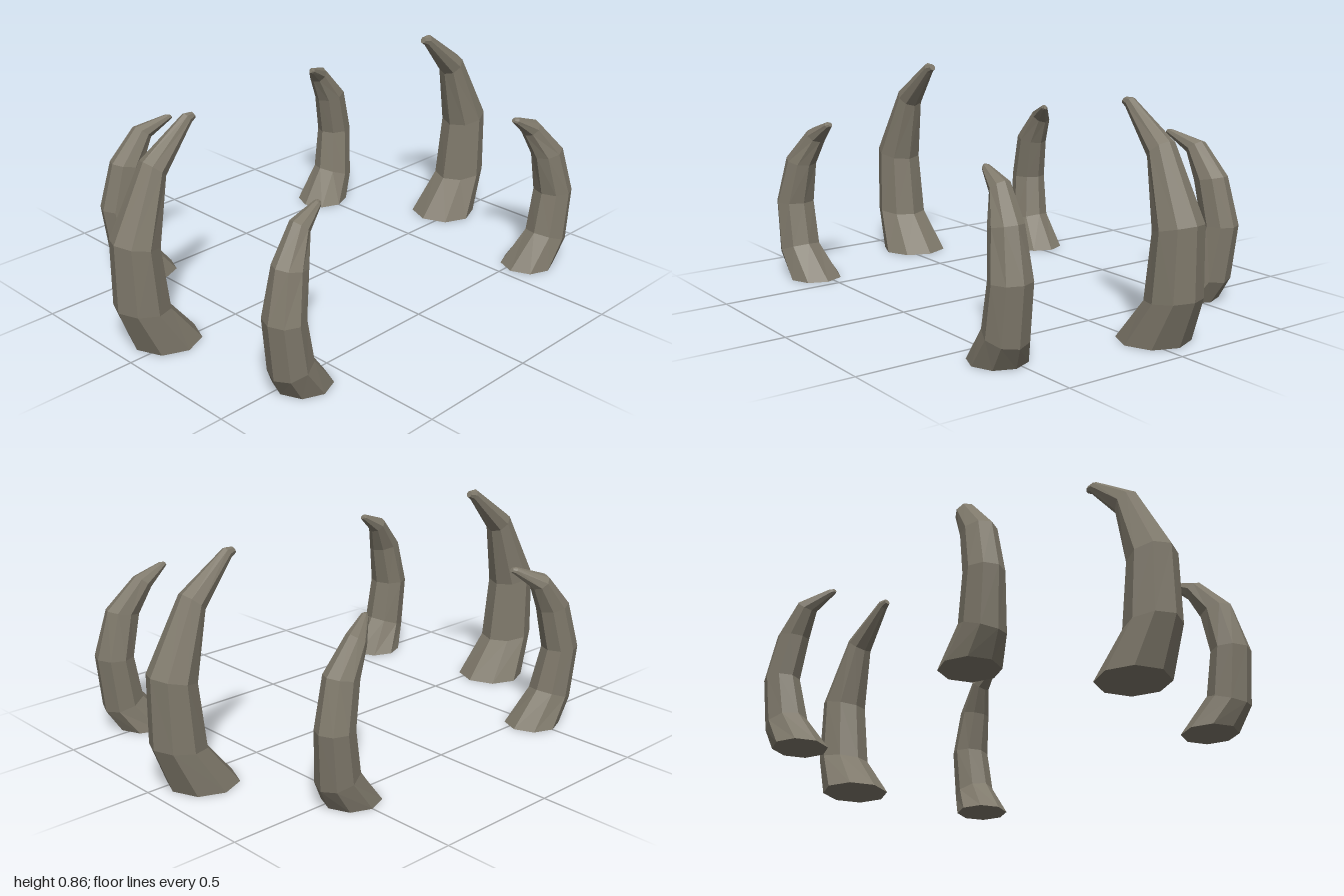
import * as THREE from 'three';

const SIDES = 8;

// Each ring: centre x, y, z, half width vector in the x-y plane (wx, wy), half depth in z
const middleRings = [
  [0.795, 0, -0.055, 0.135, 0, 0.137],
  [0.895, 0.17, -0.053, 0.106, 0.012, 0.104],
  [0.91, 0.43, -0.053, 0.09, 0.022, 0.093],
  [0.812, 0.69, -0.055, 0.04, 0.035, 0.056],
  [0.65, 0.835, -0.053, 0.012, 0.021, 0.021],
  [0.622, 0.841, -0.053, 0.006, 0.013, 0.013],
];
const backRings = [
  [0.5, 0, -0.533, 0.11, 0, 0.108],
  [0.582, 0.115, -0.55, 0.08, -0.028, 0.083],
  [0.61, 0.31, -0.568, 0.075, 0, 0.07],
  [0.568, 0.487, -0.555, 0.067, 0.014, 0.062],
  [0.49, 0.6, -0.547, 0.03, 0.026, 0.043],
  [0.4, 0.652, -0.495, 0.008, 0.012, 0.016],
  [0.388, 0.655, -0.49, 0.004, 0.008, 0.008],
];
// The front claw has the same profile, set further out and bending less in depth
const frontDepth = [[0.53, 0.108], [0.555, 0.085], [0.555, 0.081], [0.543, 0.061], [0.511, 0.041], [0.503, 0.016], [0.5, 0.008]];
const frontRings = backRings.map(([x, y, , wx, wy], i) =>
  [x + 0.147, y, frontDepth[i][0], wx, wy, frontDepth[i][1]]);

// Faceted, capped loft through the rings; side is +1 or -1 to mirror across x
function clawGeometry(rings, side) {
  const loops = rings.map(([x, y, z, wx, wy, d]) =>
    Array.from({ length: SIDES }, (_, i) => {
      const a = (i / SIDES) * Math.PI * 2;
      const c = Math.cos(a);
      return [side * (x + wx * c), y + wy * c, z + d * Math.sin(a)];
    }));
  const pos = [];
  const tri = (a, b, c) => pos.push(...a, ...(side > 0 ? b : c), ...(side > 0 ? c : b));
  const centre = ([x, y, z]) => [side * x, y, z];
  const bottom = centre(rings[0]);
  const tip = centre(rings[rings.length - 1]);
  for (let i = 0; i < SIDES; i++) {
    const j = (i + 1) % SIDES;
    for (let k = 0; k < loops.length - 1; k++) {
      const low = loops[k], high = loops[k + 1];
      tri(low[i], high[i], high[j]);
      tri(low[i], high[j], low[j]);
    }
    const last = loops[loops.length - 1];
    tri(bottom, loops[0][i], loops[0][j]);
    tri(tip, last[j], last[i]);
  }
  const geometry = new THREE.BufferGeometry();
  geometry.setAttribute('position', new THREE.Float32BufferAttribute(pos, 3));
  geometry.computeVertexNormals();
  return geometry;
}

export function createModel() {
  const group = new THREE.Group();
  group.name = 'clawRing';
  const horn = new THREE.MeshStandardMaterial({ color: 0x7f796b, flatShading: true });
  horn.name = 'greyHorn';

  // Three curved claws on each side
  const claws = { frontClaw: frontRings, middleClaw: middleRings, backClaw: backRings };
  for (const [name, rings] of Object.entries(claws)) {
    for (const side of [1, -1]) {
      const mesh = new THREE.Mesh(clawGeometry(rings, side), horn);
      mesh.name = name + (side > 0 ? 'Left' : 'Right');
      group.add(mesh);
    }
  }
  return group;
}
